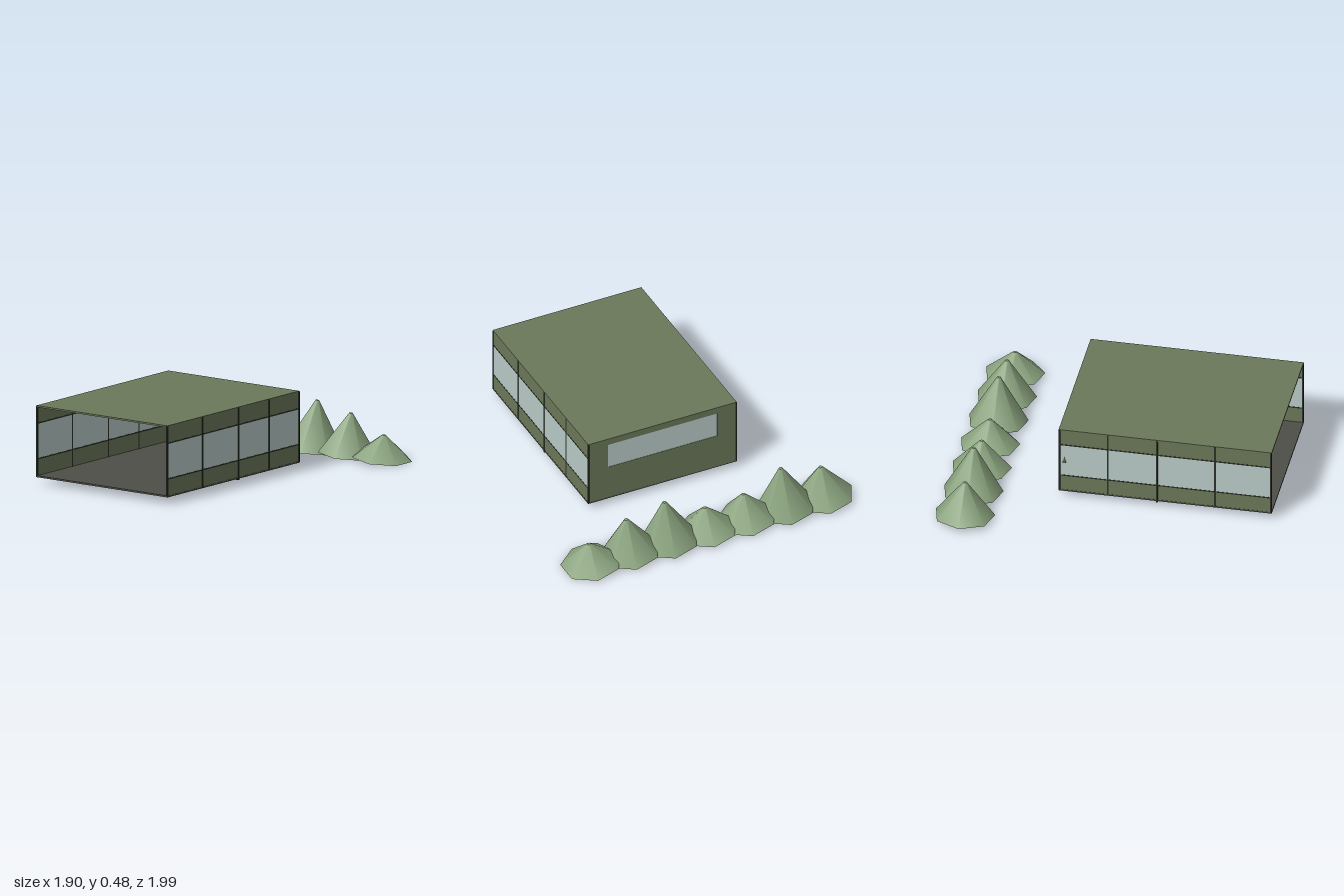
import * as THREE from 'three';

const mat = (name, color, side = THREE.FrontSide) => {
  const m = new THREE.MeshStandardMaterial({ color, side });
  m.name = name;
  return m;
};

export function createModel() {
  const model = new THREE.Group();
  model.name = 'gardenRoom';
  const wall = mat('olive wall', 0x6b7859);
  const glass = mat('pale glass', 0xb9cbc7);
  const dark = mat('dark frame', 0x2b3026);
  const floorMat = mat('floor grey', 0x4d4e48);
  const leaf = mat('bush green', 0x8aa37e);
  const stemMat = mat('stem green', 0x505a42);
  const straw = mat('straw', 0xb9a872);
  const cream = mat('cream', 0xc8c290);

  const add = (name, geo, material, parent = model) => {
    const mesh = new THREE.Mesh(geo, material);
    mesh.name = name;
    parent.add(mesh);
    return mesh;
  };
  // box given by its minimum and maximum corners
  const box = (name, m, x0, x1, y0, y1, z0, z1, parent) => {
    const b = add(name, new THREE.BoxGeometry(x1 - x0, y1 - y0, z1 - z0), m, parent);
    b.position.set((x0 + x1) / 2, (y0 + y1) / 2, (z0 + z1) / 2);
    return b;
  };
  const tube = (name, points, r, m, parent) => {
    const curve = new THREE.CatmullRomCurve3(points.map(p => new THREE.Vector3(...p)));
    return add(name, new THREE.TubeGeometry(curve, 28, r, 8), m, parent);
  };

  const L = -0.435, R = 0.555, Y0 = 0.055, Y1 = 0.485, B = -0.31, F = 0.99;

  // floor, roof and the beam beneath the floor
  box('floor', floorMat, L, R, 0.05, 0.06, B, F);
  box('roof', wall, L, R, 0.478, 0.488, B, F);
  box('floorBeam', dark, L, R, 0.042, 0.05, 0.286, 0.294);

  // banded side walls with posts and rails
  const posts = [F - 0.004, 0.645, 0.29, -0.01, B + 0.004];
  for (const [side, x, out] of [['right', L, -1], ['left', R, 1]]) {
    const g = new THREE.Group();
    g.name = side + 'Wall';
    model.add(g);
    const xs = (a, b) => [Math.min(x - out * a, x - out * b), Math.max(x - out * a, x - out * b)];
    const skin = xs(0.001, 0.008), trim = xs(-0.002, 0.01);
    box('lowerPanel', wall, ...skin, Y0, 0.16, B, F, g);
    box('sideGlass', glass, ...skin, 0.16, 0.38, B, F, g);
    box('upperPanel', wall, ...skin, 0.38, Y1, B, F, g);
    for (const y of [0.162, 0.38]) box('rail', dark, ...xs(0, 0.009), y - 0.004, y + 0.004, B, F, g);
    for (const z of posts) box('post', dark, ...trim, z === 0.29 ? 0.042 : Y0, Y1, z - 0.005, z + 0.005, g);
  }

  // back wall with a window opening
  const rect = (S, x0, x1, y0, y1) => {
    const s = new S();
    s.moveTo(x0, y0);
    s.lineTo(x1, y0);
    s.lineTo(x1, y1);
    s.lineTo(x0, y1);
    s.closePath();
    return s;
  };
  const frameOf = (x0, x1, y0, y1, t, depth) => {
    const s = rect(THREE.Shape, x0, x1, y0, y1);
    s.holes.push(rect(THREE.Path, x0 + t, x1 - t, y0 + t, y1 - t));
    return new THREE.ExtrudeGeometry(s, { depth, bevelEnabled: false });
  };
  const back = rect(THREE.Shape, L, R, Y0, Y1);
  back.holes.push(rect(THREE.Path, -0.305, 0.425, 0.28, 0.445));
  add('backWall', new THREE.ExtrudeGeometry(back, { depth: 0.01, bevelEnabled: false }), wall).position.z = B;
  box('backGlass', glass, -0.305, 0.425, 0.28, 0.445, B + 0.002, B + 0.008);
  add('windowFrame', frameOf(-0.312, 0.432, 0.273, 0.452, 0.009, 0.004), dark).position.z = B + 0.01;

  // arching plant stems with dry strands beneath
  const plant = new THREE.Group();
  plant.name = 'archingPlant';
  model.add(plant);
  tube('mainStem', [[-0.424, 0.25, -0.275], [-0.412, 0.33, -0.272], [-0.37, 0.385, -0.268], [-0.25, 0.425, -0.262],
    [-0.08, 0.436, -0.26], [0.1, 0.428, -0.26], [0.285, 0.408, -0.26]], 0.015, stemMat, plant);
  tube('upperStem', [[-0.415, 0.34, -0.272], [-0.38, 0.41, -0.27], [-0.25, 0.445, -0.265], [-0.08, 0.458, -0.26],
    [0.1, 0.447, -0.255], [0.28, 0.412, -0.25]], 0.009, stemMat, plant);
  for (let i = 0; i < 9; i++) {
    const t = i / 8, z = -0.265 + 0.03 * t;
    tube('strand', [[-0.39 + 0.07 * t, 0.3 + 0.01 * (i % 3), z], [-0.3 + 0.03 * t, 0.345 + 0.035 * t, z],
      [-0.1, 0.365 + 0.045 * t, z], [0.1, 0.364 + 0.05 * t, z], [0.2 + 0.09 * ((i * 5) % 9) / 8, 0.367 + 0.04 * t, z]],
    0.0025, straw, plant);
  }

  // framed cream panel with a small pedestal stand
  const board = new THREE.Group();
  board.name = 'displayPanel';
  model.add(board);
  box('panel', cream, 0.315, 0.49, 0.12, 0.335, -0.25, -0.242, board);
  add('panelFrame', frameOf(0.312, 0.493, 0.117, 0.338, 0.006, 0.012), dark, board).position.z = -0.252;
  box('standTop', dark, 0.352, 0.45, 0.285, 0.293, -0.24, -0.21, board);
  const stem = add('standStem', new THREE.CylinderGeometry(0.005, 0.005, 0.11, 8), stemMat, board);
  stem.position.set(0.402, 0.235, -0.225);
  const foot = add('standFoot', new THREE.SphereGeometry(0.038, 16, 10), stemMat, board);
  foot.scale.set(1, 0.4, 0.4);
  foot.position.set(0.402, 0.177, -0.225);
  tube('hook', [[0.445, 0.3, -0.236], [0.452, 0.325, -0.236], [0.447, 0.36, -0.236]], 0.004, straw, board);

  // low box on the floor
  box('lowBox', wall, -0.052, 0.168, 0.06, 0.106, 0.04, 0.16);
  box('lowBoxFront', floorMat, -0.025, 0.14, 0.064, 0.1, 0.16, 0.165);

  // row of leaning seven-sided bushes, listed from right to left
  [0.245, 0.32, 0.207, 0.19, 0.317, 0.27, 0.167].forEach((top, i) => {
    const h = top - 0.024;
    const geo = new THREE.CylinderGeometry(0.012, 0.185, h, 7);
    geo.translate(0, h / 2, 0);
    geo.rotateY(-Math.PI / 2);
    const bush = add('bush', geo, leaf);
    bush.position.set(-0.765 + i * 0.2585, 0.024, -0.82);
    bush.rotation.z = -0.1;
  });
  return model;
}
